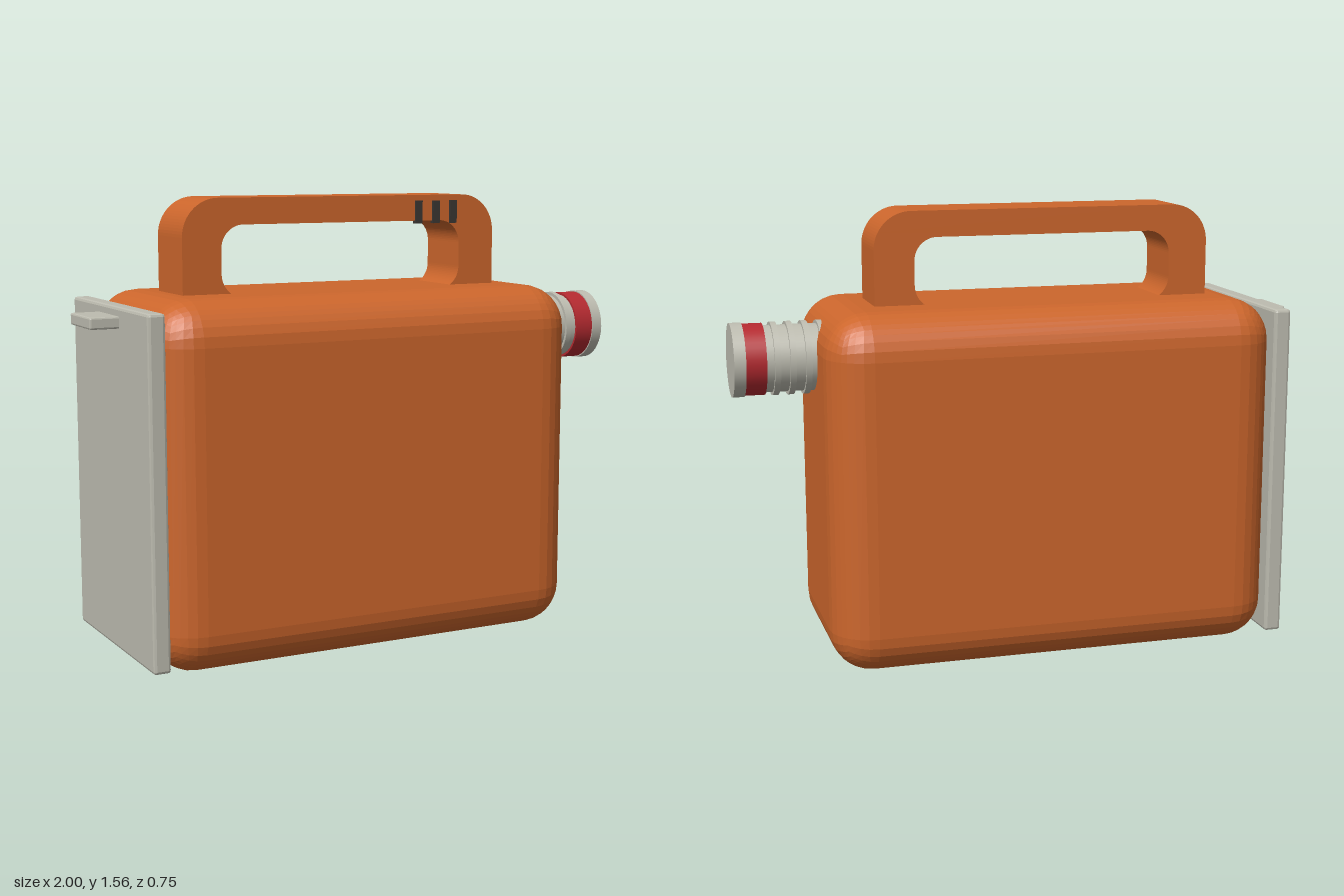
import * as THREE from 'three';
import { RoundedBoxGeometry } from 'three/addons/geometries/RoundedBoxGeometry.js';

const mat = (name, color) => {
  const m = new THREE.MeshStandardMaterial({ color });
  m.name = name;
  return m;
};

// Adds a rounded rectangle outline to a Shape or Path
function roundedRect(p, x0, y0, x1, y1, r) {
  p.moveTo(x0 + r, y0);
  p.lineTo(x1 - r, y0);
  p.absarc(x1 - r, y0 + r, r, -Math.PI / 2, 0);
  p.lineTo(x1, y1 - r);
  p.absarc(x1 - r, y1 - r, r, 0, Math.PI / 2);
  p.lineTo(x0 + r, y1);
  p.absarc(x0 + r, y1 - r, r, Math.PI / 2, Math.PI);
  p.lineTo(x0, y0 + r);
  p.absarc(x0 + r, y0 + r, r, Math.PI, Math.PI * 1.5);
  return p;
}

export function createModel() {
  const orange = mat('orange', 0xcc662c);
  const grey = mat('warm grey', 0xbdbcb0);
  const red = mat('red', 0xb52a30);
  const dark = mat('dark', 0x3a3633);
  const model = new THREE.Group();
  model.name = 'canister';

  const add = (name, geometry, material, parent = model) => {
    const mesh = new THREE.Mesh(geometry, material);
    mesh.name = name;
    parent.add(mesh);
    return mesh;
  };
  // Box given by its extents, with softened edges
  const block = (name, x0, x1, y0, y1, halfDepth, r, segments, material) => {
    const g = new RoundedBoxGeometry(x1 - x0, y1 - y0, halfDepth * 2, segments, r);
    g.computeVertexNormals(); // faceted bevels
    g.translate((x0 + x1) / 2, (y0 + y1) / 2, 0);
    return add(name, g, material);
  };

  // Tank, end plate and the tab on the plate
  block('body', -0.86, 0.72, 0, 1.24, 0.375, 0.147, 4, orange);
  block('endPlate', -0.9, -0.84, 0.04, 1.21, 0.367, 0.01, 1, grey);
  block('plateTab', -1, -0.89, 1.14, 1.18, 0.1, 0.006, 1, grey);

  // Carrying handle: a rounded loop sunk into the top of the tank
  const loop = roundedRect(new THREE.Shape(), -0.68, 1.1, 0.52, 1.56, 0.13);
  loop.holes.push(roundedRect(new THREE.Path(), -0.54, 1.226, 0.38, 1.47, 0.08));
  const handle = new THREE.ExtrudeGeometry(loop, { depth: 0.22, bevelEnabled: false, curveSegments: 10 });
  handle.translate(0, 0, -0.11);
  add('handle', handle, orange);

  // Three dark grip bars on the front of the handle
  for (let i = 0; i < 3; i++) {
    add('gripBar', new THREE.BoxGeometry(0.027, 0.08, 0.02), dark)
      .position.set(0.213 + i * 0.07, 1.5, 0.108);
  }

  // Spout along +x, with ridges, a coloured band and a cap
  const spout = new THREE.Group();
  spout.name = 'spout';
  spout.position.y = 1.06;
  model.add(spout);
  const disc = (name, x0, x1, r, material) => {
    const g = new THREE.CylinderGeometry(r, r, x1 - x0, 40);
    g.rotateZ(-Math.PI / 2);
    g.translate((x0 + x1) / 2, 0, 0);
    add(name, g, material, spout);
  };
  disc('neck', 0.6, 0.9, 0.115, grey);
  for (let i = 0; i < 4; i++) disc('ridge', 0.685 + i * 0.053, 0.705 + i * 0.053, 0.126, grey);
  disc('band', 0.89, 0.96, 0.123, red);
  disc('cap', 0.96, 1, 0.127, grey);

  return model;
}
